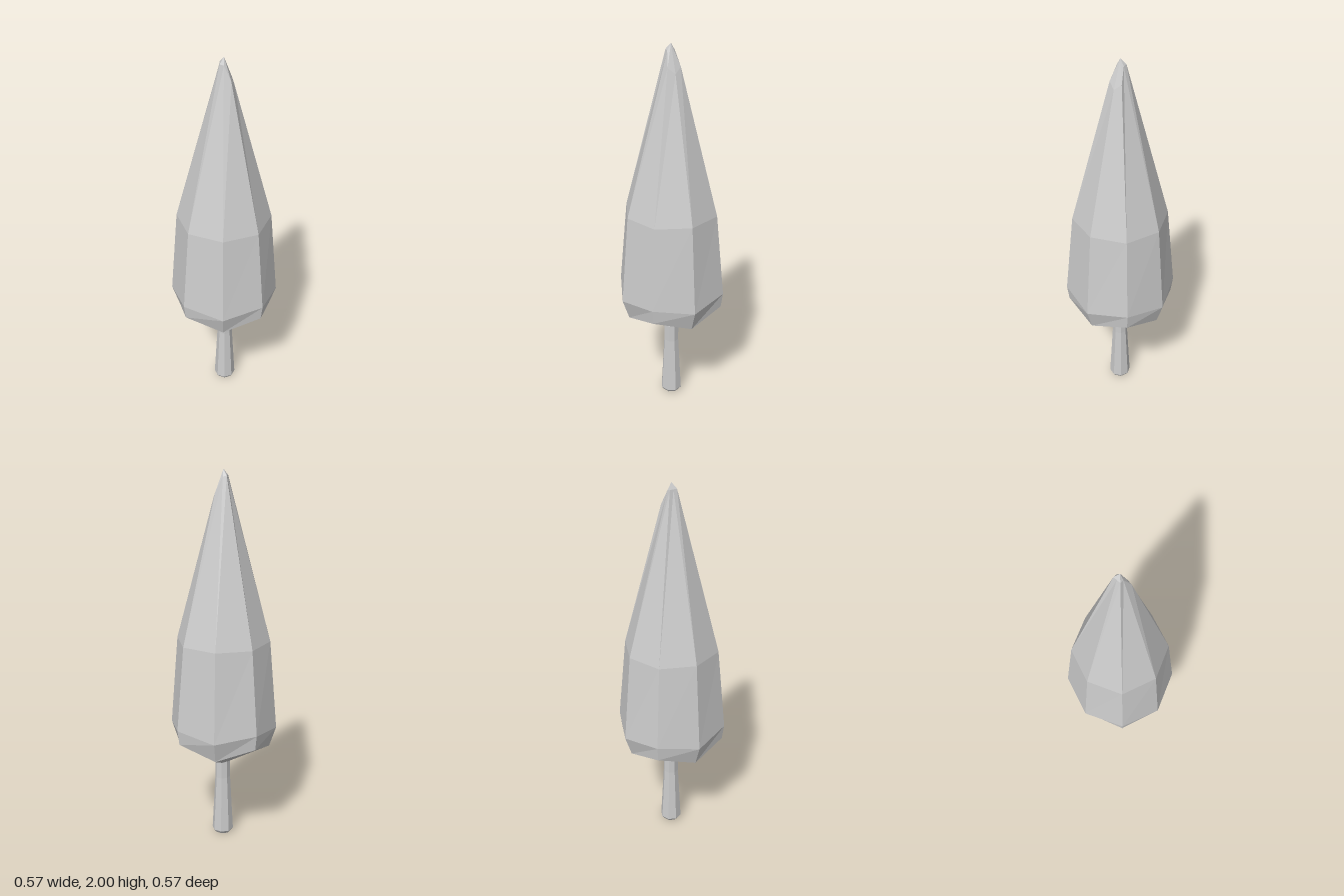
import * as THREE from 'three';

const SIDES = 8;
const material = new THREE.MeshStandardMaterial({ color: 0xcccccc, flatShading: true });

// Ring of eight points; profile(i) gives [radius, height], starting at +z and turning to +x.
function ring(profile, offsetX = 0) {
  return Array.from({ length: SIDES }, (_, i) => {
    const a = (i / SIDES) * Math.PI * 2;
    const [r, y] = profile(i);
    return new THREE.Vector3(Math.sin(a) * r + offsetX, y, Math.cos(a) * r);
  });
}

// Skin stacked rings and close both ends with fans to a point.
function skin(name, rings, bottom, top) {
  const pts = [];
  const first = rings[0], last = rings[rings.length - 1];
  for (let i = 0; i < SIDES; i++) {
    const j = (i + 1) % SIDES;
    pts.push(bottom, first[j], first[i]);
    for (let k = 0; k + 1 < rings.length; k++) {
      const lo = rings[k], hi = rings[k + 1];
      pts.push(lo[i], lo[j], hi[j], lo[i], hi[j], hi[i]);
    }
    pts.push(last[i], last[j], top);
  }
  const geometry = new THREE.BufferGeometry().setFromPoints(pts);
  geometry.computeVertexNormals();
  const mesh = new THREE.Mesh(geometry, material);
  mesh.name = name;
  return mesh;
}

// Rings whose diagonal corners differ from those on the axes.
const alternating = (axis, diagonal) => ring((i) => (i % 2 ? diagonal : axis));

export function createModel() {
  const group = new THREE.Group();
  group.name = 'tree';

  // Foliage: faceted underside, wide skirt, shoulder and a slightly lopsided tip
  const tip = [
    [0.02, 1.965], [0.05, 1.89], [0.05, 1.86], [0.05, 1.89],
    [0.02, 1.965], [0.028, 1.97], [0.02, 1.97], [0.028, 1.97],
  ];
  group.add(skin('foliage', [
    alternating([0.25, 0.54], [0.283, 0.6]),
    alternating([0.286, 0.65], [0.294, 0.68]),
    alternating([0.246, 1.13], [0.25, 1.13]),
    ring((i) => tip[i]),
  ], new THREE.Vector3(0, 0.415, 0), new THREE.Vector3(0, 2, 0)));

  // Trunk: tapered octagon with a small bevel at the foot
  const trunkProfile = [[0.045, 0], [0.058, 0.018], [0.041, 0.34], [0.041, 0.44]];
  group.add(skin('trunk', trunkProfile.map((p) => ring(() => p, 0.004)),
    new THREE.Vector3(0.004, 0, 0), new THREE.Vector3(0.004, 0.44, 0)));

  return group;
}
